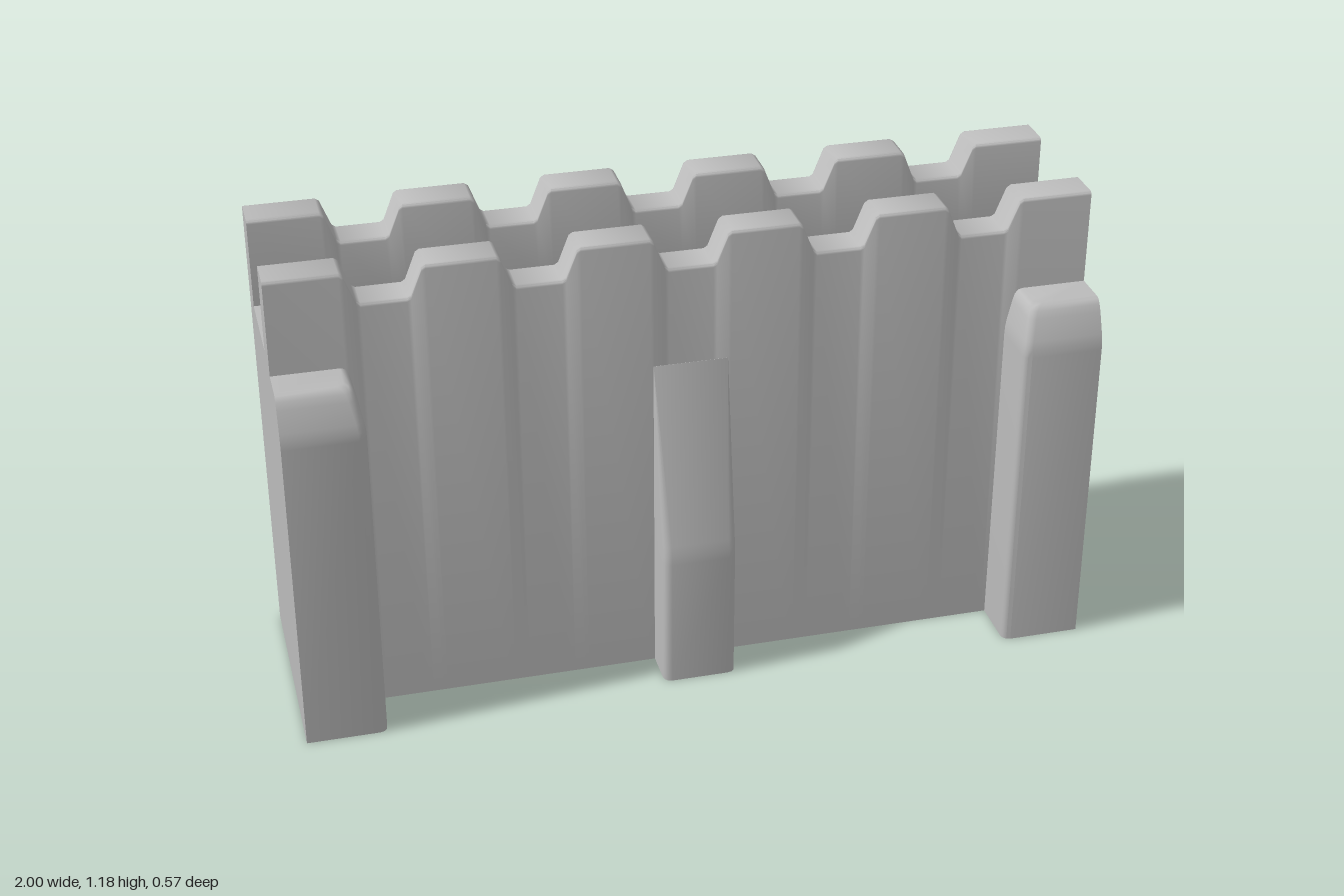
import * as THREE from 'three';
import { toCreasedNormals } from 'three/addons/utils/BufferGeometryUtils.js';

const V = (x, y, z) => new THREE.Vector3(x, y, z);

// Skin a row of closed rings stacked along an axis, and cap both ends
function loft(rings, axis) {
  const newell = rings[0].reduce((n, p, i, r) => n.add(p.clone().cross(r[(i + 1) % r.length])), V(0, 0, 0));
  if (newell.dot(axis) < 0) rings = rings.map(r => [...r].reverse());
  const pos = [];
  const tri = (a, b, c) => [a, b, c].forEach(p => pos.push(p.x, p.y, p.z));
  const n = rings[0].length;
  for (let k = 0; k < rings.length - 1; k++) {
    const a = rings[k], b = rings[k + 1];
    for (let i = 0; i < n; i++) {
      const j = (i + 1) % n;
      tri(a[i], a[j], b[j]);
      tri(a[i], b[j], b[i]);
    }
  }
  const cap = (ring, out) => {
    const flat = ring.map(p => axis.x ? new THREE.Vector2(p.z, p.y) : new THREE.Vector2(p.x, p.z));
    for (const [i, j, k] of THREE.ShapeUtils.triangulateShape(flat, [])) {
      const [a, b, c] = [ring[i], ring[j], ring[k]];
      const normal = b.clone().sub(a).cross(c.clone().sub(a));
      normal.dot(out) > 0 ? tri(a, b, c) : tri(a, c, b);
    }
  };
  cap(rings[0], axis.clone().negate());
  cap(rings[rings.length - 1], axis);
  const g = new THREE.BufferGeometry();
  g.setAttribute('position', new THREE.Float32BufferAttribute(pos, 3));
  return toCreasedNormals(g, THREE.MathUtils.degToRad(40));
}

// Quarter-round corner: points from angle a0 through 90 degrees
function arc(cx, cy, r, a0, steps = 3) {
  return Array.from({ length: steps + 1 }, (_, i) => {
    const a = a0 + (i / steps) * Math.PI / 2;
    return [cx + r * Math.cos(a), cy + r * Math.sin(a)];
  });
}

const BACK = -0.285, FACE = 0.145, FLOOR = 0.96, THICK = 0.096;

// Wall with two notched parapets and a walkway between them
function wallGeometry() {
  const outline = [[-1, 1.185]];
  for (let i = -2; i <= 2; i++) {
    const c = i * 0.3635;
    outline.push([c - 0.0925, 1.185], [c - 0.061, 1.105], [c + 0.061, 1.105], [c + 0.0925, 1.185]);
  }
  outline.push([1, 1.185]);
  // Soften each notch corner with two stations
  const soft = outline.flatMap((p, i) => {
    if (i === 0 || i === outline.length - 1) return [p];
    return [outline[i - 1], outline[i + 1]].map(q => {
      const t = 0.007 / Math.hypot(q[0] - p[0], q[1] - p[1]);
      return [p[0] + (q[0] - p[0]) * t, p[1] + (q[1] - p[1]) * t];
    });
  });
  const r = 0.009;
  const rings = soft.map(([x, h]) => {
    const parapet = (z0, z1) => [
      ...arc(z1 - r, h - r, r, 0),
      ...arc(z0 + r, h - r, r, Math.PI / 2),
    ];
    return [
      [BACK, 0], [FACE, 0],
      ...parapet(FACE - THICK, FACE), [FACE - THICK, FLOOR],
      [BACK + THICK, FLOOR], ...parapet(BACK, BACK + THICK),
    ].map(([z, y]) => V(x, y, z));
  });
  return loft(rings, V(1, 0, 0));
}

// Corner pier: stations of [height, inner x, front z]
function pierGeometry(side) {
  const stations = [
    [0, 0.8, 0.285], [0.825, 0.8, 0.285], [0.845, 0.801, 0.283], [0.865, 0.804, 0.278],
    [0.915, 0.815, 0.258], [0.932, 0.82, 0.249], [0.942, 0.828, 0.24], [0.945, 0.838, 0.23],
  ];
  const rings = stations.map(([y, x, z]) => [
    [1, FACE], [1, z], ...arc(x + 0.02, z - 0.02, 0.02, Math.PI / 2), [x, FACE],
  ].map(([px, pz]) => V(px * side, y, pz)));
  return loft(rings, V(0, 1, 0));
}

// Middle buttress: stations of [height, front z], tapering back into the wall
function buttressGeometry() {
  const w = 0.0925;
  const stations = [[0, 0.25], [0.345, 0.25], [0.37, 0.2485], [0.395, 0.244], [0.85, 0.1455]];
  const rings = stations.map(([y, z]) => {
    const r = Math.min(0.02, (z - FACE) * 0.9);
    return [
      [w, FACE], ...arc(w - r, z - r, r, 0), ...arc(-w + r, z - r, r, Math.PI / 2), [-w, FACE],
    ].map(([x, pz]) => V(x, y, pz));
  });
  return loft(rings, V(0, 1, 0));
}

export function createModel() {
  const stone = new THREE.MeshStandardMaterial({ color: 0xbbbbbb });
  stone.name = 'greyStone';
  const group = new THREE.Group();
  group.name = 'castleWall';
  const add = (name, geometry) => {
    const mesh = new THREE.Mesh(geometry, stone);
    mesh.name = name;
    group.add(mesh);
  };
  add('crenellatedWall', wallGeometry());
  add('leftPier', pierGeometry(1));
  add('rightPier', pierGeometry(-1));
  add('middleButtress', buttressGeometry());
  return group;
}
